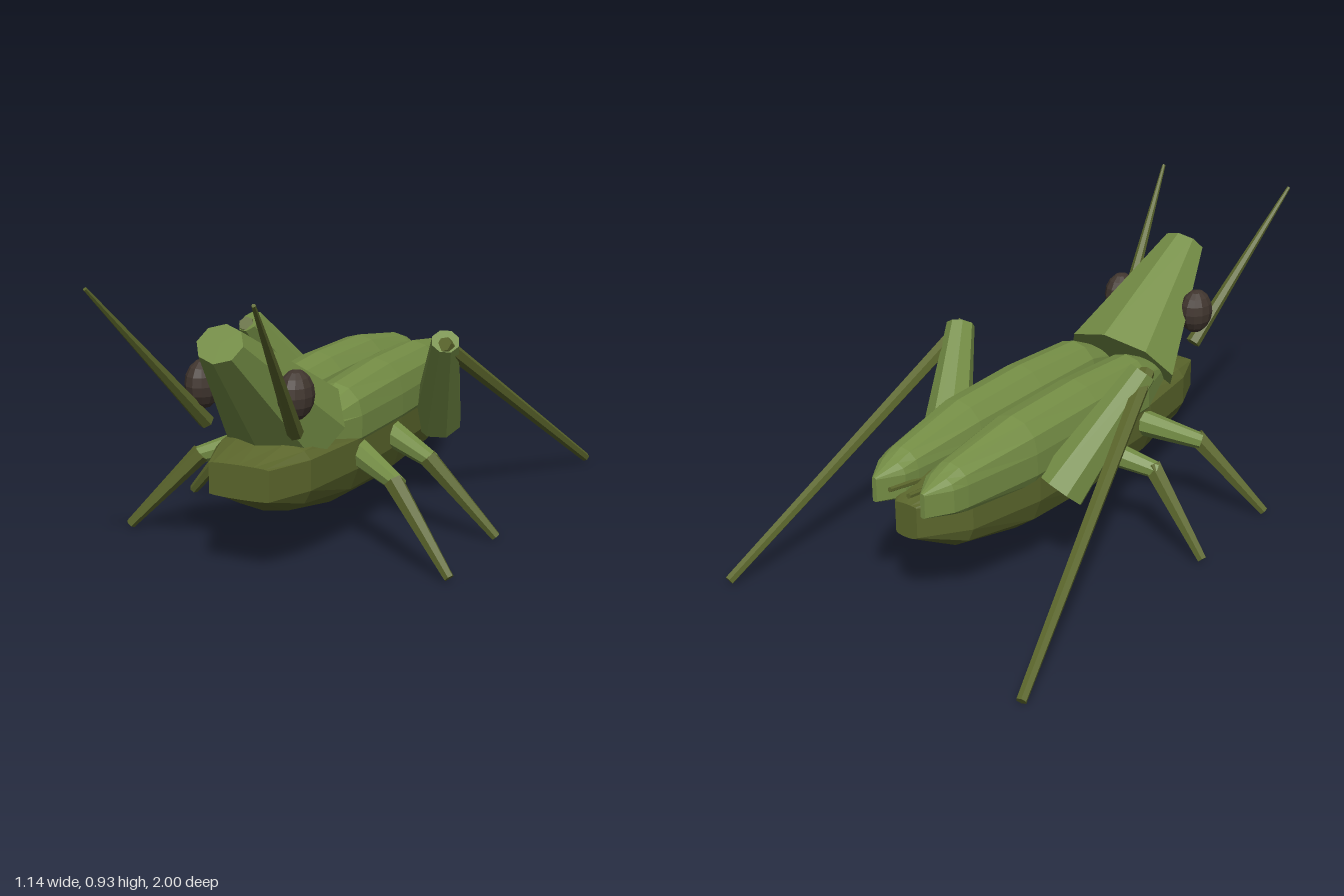
import * as THREE from 'three';

const mat = (name, color) => {
  const m = new THREE.MeshStandardMaterial({ color });
  m.name = name;
  return m;
};

// Unshared vertices give crisp facets
function flat(geo) {
  const g = geo.index ? geo.toNonIndexed() : geo;
  g.computeVertexNormals();
  return g;
}

// Closed skin over rings running from front (+z) to back. Each ring is
// { z, x, w, top, bottom }: rounded above y = hi and below y = lo, with
// straight walls between.
function loft(rings, lo, hi, steps = 4) {
  const pos = [], idx = [], n = 2 * (steps + steps) / 2 * 2 / 2 + 2;
  const count = 2 * (steps + 1);
  rings.forEach(({ z, x, w, top, bottom }) => {
    for (let half = 0; half < 2; half++) {
      for (let i = 0; i <= steps; i++) {
        const a = Math.PI * (half + i / steps);
        const y = half ? lo + Math.sin(a) * (lo - bottom) : hi + Math.sin(a) * (top - hi);
        pos.push(x + w * Math.cos(a), y, z);
      }
    }
  });
  for (let r = 0; r < rings.length - 1; r++) {
    for (let j = 0; j < count; j++) {
      const k = (j + 1) % count;
      const a = r * count + j, b = r * count + k, c = a + count, d = b + count;
      idx.push(a, c, b, b, c, d);
    }
  }
  // End caps
  const last = (rings.length - 1) * count;
  for (let j = 1; j < count - 1; j++) {
    idx.push(0, j, j + 1, last, last + j + 1, last + j);
  }
  const g = new THREE.BufferGeometry();
  g.setAttribute('position', new THREE.Float32BufferAttribute(pos, 3));
  g.setIndex(idx);
  return flat(g);
}

export function createModel() {
  const model = new THREE.Group();
  model.name = 'grasshopper';
  const leaf = mat('leafGreen', 0x748d45);
  const olive = mat('darkOlive', 0x5b662c);
  const brown = mat('darkBrown', 0x41362f);

  const add = (name, geo, material, parent = model) => {
    const mesh = new THREE.Mesh(geo, material);
    mesh.name = name;
    parent.add(mesh);
    return mesh;
  };

  // Tapered rod from point a (radius ra) to point b (radius rb)
  const rod = (name, a, b, ra, rb, sides, material, parent) => {
    const p = new THREE.Vector3(...a), q = new THREE.Vector3(...b);
    const dir = q.clone().sub(p);
    const mesh = add(name, flat(new THREE.CylinderGeometry(rb, ra, dir.length(), sides)), material, parent);
    mesh.position.copy(p).add(q).multiplyScalar(0.5);
    mesh.quaternion.setFromUnitVectors(new THREE.Vector3(0, 1, 0), dir.normalize());
    return mesh;
  };

  // Body
  const bodyRings = [
    [0.63, 0.1, 0.365, 0.26], [0.48, 0.16, 0.41, 0.18], [0.22, 0.193, 0.44, 0.125],
    [-0.1, 0.2, 0.45, 0.105], [-0.4, 0.193, 0.44, 0.125], [-0.66, 0.14, 0.41, 0.18],
    [-0.795, 0.04, 0.365, 0.255],
  ].map(([z, w, top, bottom]) => ({ z, x: 0, w, top, bottom }));
  add('body', loft(bodyRings, 0.265, 0.36, 6), olive);

  // Head: tapered eight-sided block leaning forward
  const head = rod('head', [0, 0.427, 0.335], [0, 0.745, 0.725], 0.173, 0.064, 8, leaf);
  head.scale.x = 1.17;

  for (const s of [1, -1]) {
    const side = new THREE.Group();
    side.name = s > 0 ? 'leftSide' : 'rightSide';
    model.add(side);
    const at = (x, y, z) => [s * x, y, z];

    // Folded wing
    const wingRings = [
      [0.37, 0.1, 0.05, 0.45, 0.335], [0.2, 0.105, 0.092, 0.525, 0.31],
      [-0.1, 0.104, 0.1, 0.54, 0.295], [-0.42, 0.102, 0.096, 0.532, 0.3],
      [-0.7, 0.092, 0.065, 0.485, 0.33], [-0.75, 0.09, 0.055, 0.465, 0.345],
      [-0.825, 0.09, 0.008, 0.435, 0.357],
    ].map(([z, x, w, top, bottom]) => ({ z, x: s * x, w, top, bottom }));
    add('wing', loft(wingRings, 0.36, 0.43, 6), leaf, side);

    // Eye and antenna
    const eye = add('eye', flat(new THREE.SphereGeometry(1, 12, 8)), brown, side);
    eye.scale.set(0.053, 0.075, 0.065);
    eye.position.set(s * 0.153, 0.577, 0.56);
    rod('antenna', at(0.148, 0.46, 0.555), at(0.257, 0.927, 0.996), 0.025, 0.006, 6, olive, side);

    // Front and middle legs
    const legs = [['front', 0.17, 0.275, 0.36], ['middle', -0.07, 0.005, -0.04]];
    for (const [name, hip, knee, foot] of legs) {
      rod(name + 'UpperLeg', at(0.15, 0.317, hip), at(0.355, 0.25, knee), 0.047, 0.027, 8, leaf, side);
      rod(name + 'LowerLeg', at(0.335, 0.262, knee), at(0.555, 0.015, foot), 0.032, 0.016, 6, olive, side);
    }

    // Jumping leg
    rod('hindUpperLeg', at(0.225, 0.29, -0.345), at(0.352, 0.62, -0.09), 0.085, 0.046, 8, leaf, side);
    rod('hindLowerLeg', at(0.355, 0.615, -0.07), at(0.556, 0.018, -0.99), 0.026, 0.016, 6, olive, side);

    // Tail spike
    rod('tailSpike', at(0.03, 0.39, -0.68), at(0.035, 0.41, -0.82), 0.01, 0.008, 6, olive, side);
  }

  return model;
}
